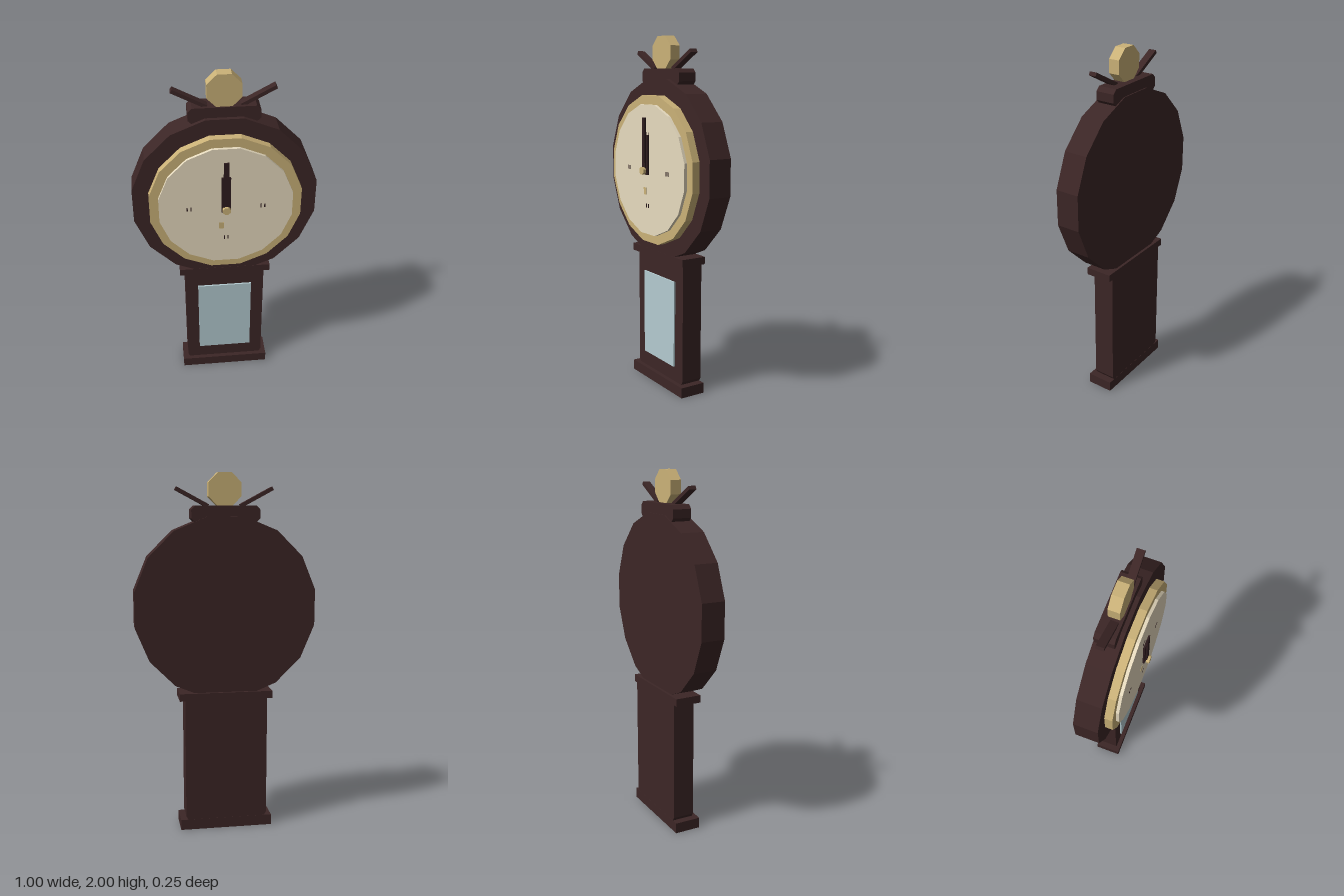
import * as THREE from 'three';

const material = (name, color) => {
  const m = new THREE.MeshStandardMaterial({ color, flatShading: true });
  m.name = name;
  return m;
};

export function createModel() {
  const clock = new THREE.Group();
  clock.name = 'wallClock';
  const wood = material('dark wood', 0x3c2626);
  const brass = material('brass', 0xcbb278);
  const cream = material('cream dial', 0xe8dcc0);
  const glass = material('pale glass', 0xb4cbd0);
  const ink = material('black hands', 0x2e1c1e);

  const add = (name, geometry, mat, x = 0, y = 0, z = 0) => {
    const mesh = new THREE.Mesh(geometry, mat);
    mesh.name = name;
    mesh.position.set(x, y, z);
    clock.add(mesh);
    return mesh;
  };
  // Box given by its limits on each axis
  const box = (name, mat, x0, x1, y0, y1, z0, z1) =>
    add(name, new THREE.BoxGeometry(x1 - x0, y1 - y0, z1 - z0), mat,
      (x0 + x1) / 2, (y0 + y1) / 2, (z0 + z1) / 2);
  // Regular prism facing front, flat side up; r is the distance to the flats
  const disc = (name, mat, r, sides, y, z0, z1) => {
    const R = r / Math.cos(Math.PI / sides);
    const g = new THREE.CylinderGeometry(R, R, z1 - z0, sides, 1, false, Math.PI / sides);
    return add(name, g.rotateX(Math.PI / 2), mat, 0, y, (z0 + z1) / 2);
  };
  // Block with corners cut in the front outline
  const cutBlock = (name, mat, w, y0, y1, z0, z1, cutX, cutY) => {
    const shape = new THREE.Shape([
      [-w + cutX, y0], [w - cutX, y0], [w, y0 + cutY], [w, y1 - cutY],
      [w - cutX, y1], [-w + cutX, y1], [-w, y1 - cutY], [-w, y0 + cutY],
    ].map(([x, y]) => new THREE.Vector2(x, y)));
    return add(name, new THREE.ExtrudeGeometry(shape, { depth: z1 - z0, bevelEnabled: false }),
      mat, 0, 0, z0);
  };

  // Lower pendulum case
  box('basePlinth', wood, -0.262, 0.262, 0, 0.06, -0.125, 0.025);
  cutBlock('pendulumCase', wood, 0.232, 0.06, 0.78, -0.124, 0, 0.012, 0.02);
  box('caseShelf', wood, -0.262, 0.262, 0.758, 0.8, -0.125, 0.025);
  box('pendulumWindow', glass, -0.158, 0.158, 0.15, 0.65, 0.001, 0.0105);

  // Round head, bezel and dial
  const cy = 1.268;
  disc('clockHead', wood, 0.5, 16, cy, -0.11, 0.024);
  disc('bezel', brass, 0.412, 16, cy, 0.02, 0.068);
  disc('dial', cream, 0.362, 16, cy, 0.06, 0.085);

  // Small paired hour marks
  for (const [x, y] of [[0.2, cy], [-0.2, cy], [0, cy + 0.2], [0, cy - 0.2]]) {
    for (const s of [-1, 1]) {
      const px = x + s * 0.01;
      box('hourMark', ink, px - 0.003, px + 0.003, y - 0.012, y + 0.012, 0.083, 0.0865);
    }
  }
  box('dialInset', brass, -0.038, -0.012, 1.13, 1.17, 0.083, 0.0865);

  // Hands and hub
  box('hourHand', ink, -0.025, 0.025, 1.245, 1.465, 0.09, 0.1);
  box('minuteHand', ink, -0.014, 0.014, 1.255, 1.56, 0.102, 0.111);
  disc('handArbor', ink, 0.015, 8, cy, 0.08, 0.11);
  disc('handHub', brass, 0.021, 8, cy, 0.107, 0.125);

  // Crest, finial and side sprigs
  cutBlock('crestBlock', wood, 0.188, 1.735, 1.825, -0.104, 0.002, 0.022, 0.022);
  disc('finial', brass, 0.09, 8, 1.91, -0.067, -0.006);
  for (const s of [-1, 1]) {
    const sprig = add('crestSprig', new THREE.BoxGeometry(0.2, 0.02, 0.042), wood,
      s * 0.178, 1.869, -0.036);
    sprig.rotation.z = s * 0.49;
  }
  return clock;
}
